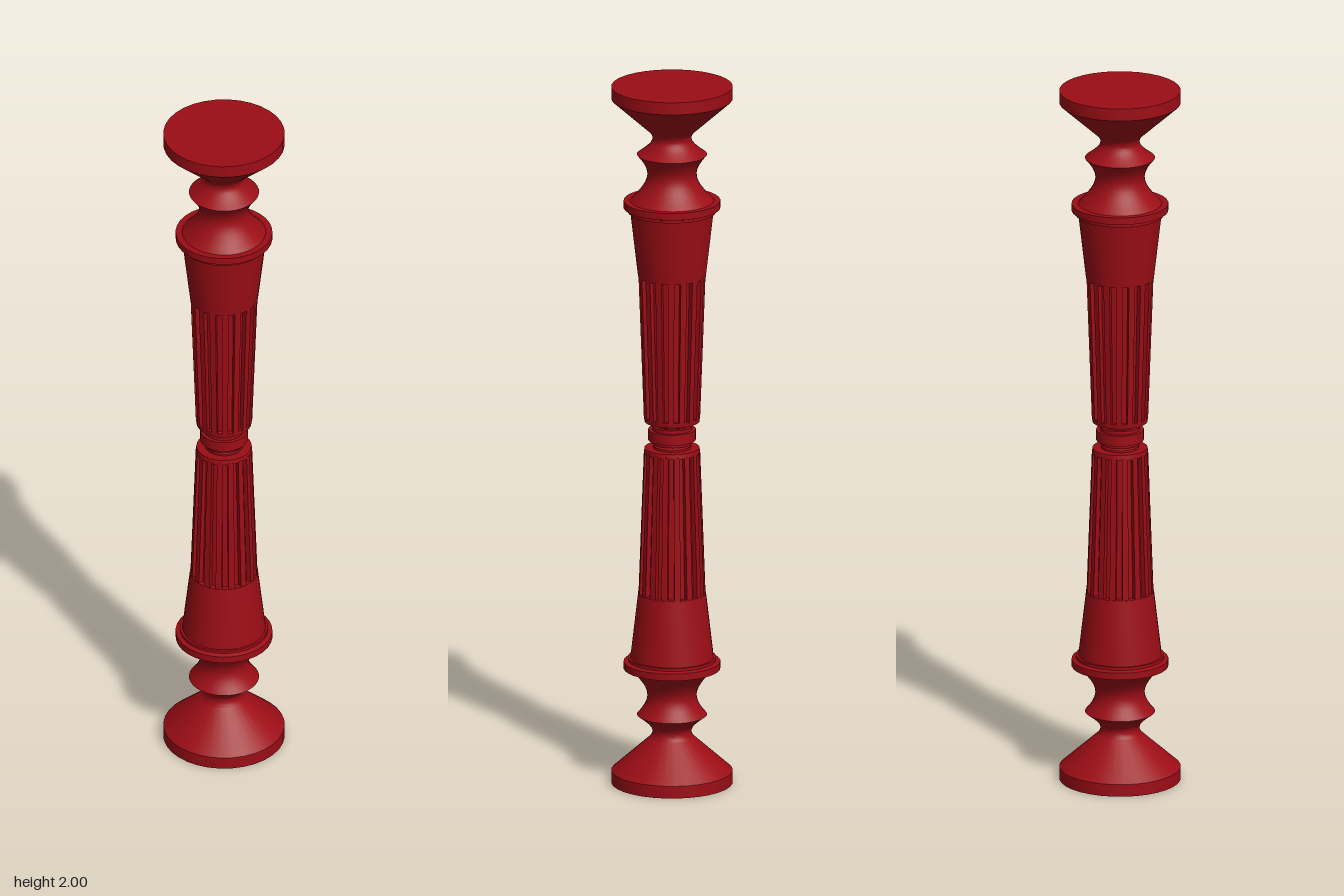
import * as THREE from 'three';
import { toCreasedNormals } from 'three/addons/utils/BufferGeometryUtils.js';

const SEGMENTS = 32;
const material = new THREE.MeshStandardMaterial({ color: 0x9c0d16 });

function addMesh(parent, name, geometry) {
  const mesh = new THREE.Mesh(toCreasedNormals(geometry, 0.4), material);
  mesh.name = name;
  parent.add(mesh);
}

// Turned part from [radius, height] pairs, listed from bottom to top
function turned(points) {
  return new THREE.LatheGeometry(points.map(([r, y]) => new THREE.Vector2(r, y)), SEGMENTS);
}

// Waisted profile between two rings, as swept by straight lines twisted about the axis
function waist(r0, y0, r1, y1, twist, steps = 10) {
  const points = [];
  for (let i = 0; i <= steps; i++) {
    const t = i / steps;
    const a = r0 * (1 - t), b = r1 * t;
    points.push([Math.sqrt(a * a + b * b + 2 * a * b * Math.cos(twist)), y0 + (y1 - y0) * t]);
  }
  return points;
}

// Tapered shaft whose alternate faces are sunk into square-edged flutes
function flutedShaft(y0, r0, y1, r1) {
  const corners = [];
  for (let i = 0; i < SEGMENTS; i++) {
    const r = i % 2 ? 0.84 : 1;
    for (const k of [i, i + 1]) {
      const a = (k / SEGMENTS) * Math.PI * 2;
      corners.push(new THREE.Vector2(Math.cos(a) * r, Math.sin(a) * r));
    }
  }
  const geometry = new THREE.ExtrudeGeometry(new THREE.Shape(corners), { depth: 1, bevelEnabled: false });
  geometry.rotateX(-Math.PI / 2);
  const p = geometry.attributes.position;
  for (let i = 0; i < p.count; i++) {
    const t = p.getY(i);
    const r = r0 + (r1 - r0) * t;
    p.setXYZ(i, p.getX(i) * r, y0 + (y1 - y0) * t, p.getZ(i) * r);
  }
  return geometry;
}

// One half of the baluster, from its foot up to the middle
function createHalf(name) {
  const half = new THREE.Group();
  half.name = name;
  addMesh(half, 'foot', turned([[0, 0], [0.168, 0], [0.168, 0.035], [0.062, 0.13], [0, 0.13]]));
  addMesh(half, 'twistedNeck', turned([
    ...waist(0.062, 0.13, 0.097, 0.195, 1.5),
    ...waist(0.097, 0.195, 0.118, 0.33, 1.75).slice(1),
  ]));
  addMesh(half, 'collar', turned([
    [0, 0.328], [0.134, 0.328], [0.134, 0.348], [0.122, 0.352], [0.122, 0.36], [0, 0.36],
  ]));
  addMesh(half, 'plainShaft', turned([[0.116, 0.355], [0.094, 0.545], [0, 0.545]]));
  addMesh(half, 'flutedShaft', flutedShaft(0.54, 0.093, 0.952, 0.078));
  addMesh(half, 'shaftRim', turned([[0, 0.948], [0.078, 0.948], [0.076, 0.962], [0, 0.962]]));
  addMesh(half, 'waistNeck', turned([[0.052, 0.96], [0.052, 0.968], [0.045, 0.972], [0.045, 1]]));
  return half;
}

export function createModel() {
  const model = new THREE.Group();
  model.name = 'baluster';
  model.add(createHalf('lowerHalf'));

  // The upper half is the lower one turned over
  const upper = createHalf('upperHalf');
  upper.rotation.x = Math.PI;
  upper.position.y = 2;
  model.add(upper);

  // Stepped ring at the middle
  addMesh(model, 'middleRing', turned([
    [0, 0.975], [0.056, 0.975], [0.056, 0.985], [0.066, 0.985],
    [0.066, 1.015], [0.056, 1.015], [0.056, 1.025], [0, 1.025],
  ]));
  return model;
}
